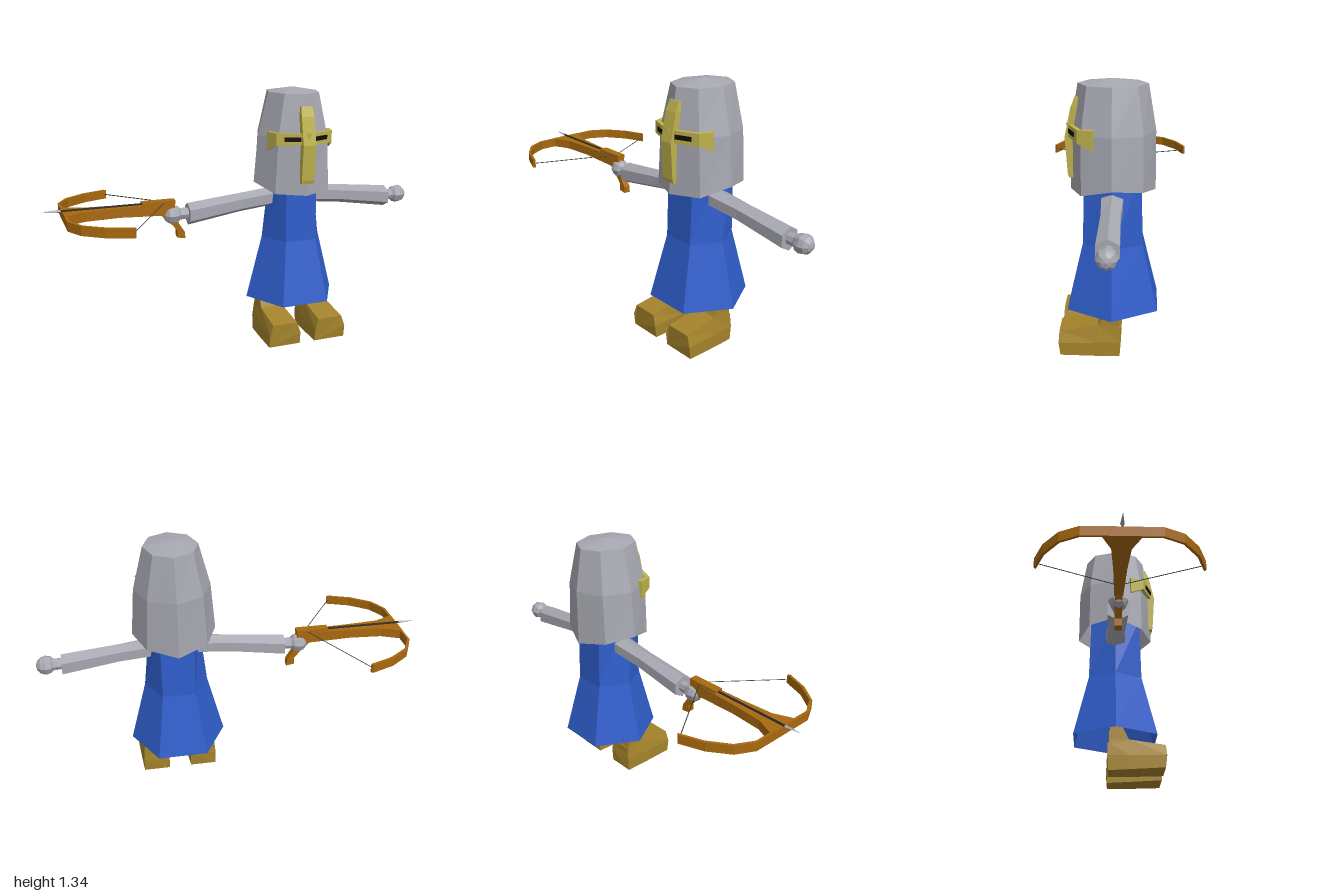
import * as THREE from 'three';

const mat = (name, color, side = THREE.FrontSide) => {
  const m = new THREE.MeshStandardMaterial({ color, side, flatShading: true });
  m.name = name;
  return m;
};

// Skin a list of equal-length rings; each ring runs counter-clockwise about the loft direction.
function loft(rings, caps = true) {
  const pos = [];
  const tri = (a, b, c) => pos.push(...a, ...b, ...c);
  const n = rings[0].length;
  for (let k = 0; k < rings.length - 1; k++) {
    for (let i = 0; i < n; i++) {
      const j = (i + 1) % n, r = rings[k], s = rings[k + 1];
      tri(r[i], r[j], s[j]);
      tri(r[i], s[j], s[i]);
    }
  }
  if (caps) {
    const a = rings[0], b = rings[rings.length - 1];
    for (let i = 1; i < n - 1; i++) {
      tri(a[0], a[i + 1], a[i]);
      tri(b[0], b[i], b[i + 1]);
    }
  }
  const g = new THREE.BufferGeometry();
  g.setAttribute('position', new THREE.Float32BufferAttribute(pos, 3));
  g.computeVertexNormals();
  return g;
}

// Rings about each axis
const ovalY = (n, y, rx, rz, start = 0) => Array.from({ length: n }, (_, i) => {
  const a = start + (i / n) * Math.PI * 2;
  return [rx * Math.sin(a), typeof y === 'number' ? y : y[i], rz * Math.cos(a)];
});
const ovalX = (n, x, cy, ry, rz) => Array.from({ length: n }, (_, i) => {
  const a = (i / n) * Math.PI * 2;
  return [x, cy + ry * Math.cos(a), rz * Math.sin(a)];
});
const rectX = (x, y0, y1, w) => [[x, y0, -w], [x, y1, -w], [x, y1, w], [x, y0, w]];
const rectY = (y, w, z0, z1) => [[-w, y, z0], [-w, y, z1], [w, y, z1], [w, y, z0]];

export function createModel() {
  const steel = mat('steel grey', 0xa6a7b0, THREE.DoubleSide);
  const blue = mat('tunic blue', 0x2f5dca, THREE.DoubleSide);
  const brass = mat('brass yellow', 0xbeb24c);
  const leather = mat('boot leather', 0xa4832b);
  const wood = mat('crossbow wood', 0xa8690f);
  const black = mat('slit black', 0x0c0c0c);
  const cord = mat('cord dark', 0x33312f);

  const model = new THREE.Group();
  model.name = 'crossbowKnight';
  const add = (parent, name, geo, material) => {
    const m = new THREE.Mesh(geo, material);
    m.name = name;
    parent.add(m);
    return m;
  };

  const figure = new THREE.Group();
  figure.name = 'figure';
  figure.position.x = 0.292;
  model.add(figure);

  // Helmet: open octagonal shell with a rim that rises at the sides
  const rim = [0.807, 0.815, 0.855, 0.835, 0.807, 0.835, 0.855, 0.815];
  add(figure, 'helmet', loft([
    ovalY(8, rim, 0.213, 0.205),
    ovalY(8, 1.1, 0.192, 0.203),
    ovalY(8, 1.32, 0.135, 0.166),
    ovalY(8, 1.343, 0.001, 0.001),
  ], false), steel);

  // Cross on the visor
  add(figure, 'visorUpright', loft([
    rectY(0.87, 0.034, 0.18, 0.21),
    rectY(0.89, 0.035, 0.19, 0.216),
    rectY(1.07, 0.035, 0.19, 0.228),
    rectY(1.21, 0.035, 0.165, 0.198),
    rectY(1.26, 0.03, 0.15, 0.178),
  ]), brass);
  const bar = [[-0.175, 0.088, 1.035], [-0.153, 0.16, 1.068], [0, 0.222, 1.07],
    [0.153, 0.16, 1.068], [0.175, 0.088, 1.035]];
  add(figure, 'visorBar', loft(bar.map(([x, z, y]) => {
    const ix = x * 0.88, iz = z * 0.9;
    return [[ix, y, iz], [ix, 1.13, iz], [x, 1.13, z], [x, y, z]];
  })), brass);
  for (const s of [-1, 1]) {
    const slit = add(figure, s > 0 ? 'leftEyeSlit' : 'rightEyeSlit',
      new THREE.BoxGeometry(0.086, 0.022, 0.006), black);
    slit.position.set(s * 0.078, 1.1, 0.191);
    slit.rotation.y = s * 0.385;
  }

  // Tunic: hexagonal body flaring into an open skirt
  const hex = (y, rx, vx, z) => [[-vx, y, -z], [-rx, y, 0], [-vx, y, z], [vx, y, z], [rx, y, 0], [vx, y, -z]];
  add(figure, 'tunic', loft([
    hex(0.217, 0.252, 0.127, 0.221),
    hex(0.55, 0.165, 0.085, 0.144),
    hex(0.9, 0.125, 0.085, 0.135),
  ], false), blue);

  // Arms and boots, one for each side
  for (const s of [-1, 1]) {
    const side = s > 0 ? 'left' : 'right';
    const arm = new THREE.Group();
    arm.name = side + 'Arm';
    if (s < 0) arm.rotation.y = Math.PI;
    figure.add(arm);
    add(arm, side + 'Sleeve', loft([
      ovalX(6, 0.09, 0.77, 0.052, 0.06),
      ovalX(6, 0.13, 0.768, 0.05, 0.06),
      ovalX(6, 0.29, 0.751, 0.05, 0.052),
      ovalX(6, 0.576, 0.714, 0.058, 0.06),
    ]), steel);
    add(arm, side + 'Wrist', loft([
      ovalX(8, 0.56, 0.718, 0.028, 0.028),
      ovalX(8, 0.63, 0.718, 0.032, 0.032),
    ]), steel);
    const hand = add(arm, side + 'Hand', new THREE.SphereGeometry(0.05, 8, 6), steel);
    hand.position.set(0.655, 0.718, 0);
    hand.rotation.z = Math.PI / 2;

    const boot = new THREE.Group();
    boot.name = side + 'Boot';
    boot.position.x = s * 0.13;
    figure.add(boot);
    add(boot, side + 'Shaft', loft([
      rectY(0.08, 0.07, -0.044, 0.07),
      rectY(0.165, 0.062, -0.034, 0.068),
      rectY(0.22, 0.06, -0.03, 0.042),
      rectY(0.3, 0.058, -0.03, 0.03),
    ]), leather);
    // foot sections run from heel to toe, with a bulge at mid height
    const foot = (z, y0, y1, wt, wb, dz) => [[-wb, y0, z - dz], [wb, y0, z - dz], [wb, 0.08, z + dz],
      [wt, y1, z], [-wt, y1, z], [-wb, 0.08, z + dz]];
    add(boot, side + 'Foot', loft([
      foot(-0.041, 0.003, 0.15, 0.062, 0.07, -0.003),
      foot(0.07, 0.007, 0.166, 0.062, 0.078, 0),
      foot(0.256, 0.015, 0.137, 0.068, 0.087, 0.004),
    ]), leather);
  }

  // Crossbow, held out to the right
  const bow = new THREE.Group();
  bow.name = 'crossbow';
  model.add(bow);
  add(bow, 'stock', loft([
    rectX(-0.913, 0.735, 0.783, 0.09),
    rectX(-0.89, 0.735, 0.783, 0.08),
    rectX(-0.81, 0.735, 0.783, 0.045),
    rectX(-0.64, 0.735, 0.783, 0.032),
    rectX(-0.42, 0.722, 0.783, 0.022),
    rectX(-0.355, 0.735, 0.783, 0.022),
  ]), wood);
  add(bow, 'latchPlate', new THREE.BoxGeometry(0.17, 0.02, 0.044), wood).position.set(-0.437, 0.787, 0);
  const grip = new THREE.Shape([[-0.44, 0.735], [-0.41, 0.705], [-0.37, 0.665], [-0.345, 0.635], [-0.345, 0.597],
    [-0.303, 0.59], [-0.306, 0.625], [-0.335, 0.67], [-0.355, 0.735]].map(p => new THREE.Vector2(...p)));
  add(bow, 'grip', new THREE.ExtrudeGeometry(grip, { depth: 0.036, bevelEnabled: false }), wood)
    .position.z = -0.018;
  const half = [[-0.913, 0.18], [-0.865, 0.272], [-0.765, 0.346], [-0.645, 0.392]];
  const curve = [...half.map(([x, z]) => [x, -z]).reverse(), ...half];
  add(bow, 'limbs', loft(curve.map(([x, z]) => {
    const ix = x + 0.012, iz = z * 0.975;
    return [[x, 0.735, z], [ix, 0.735, iz], [ix, 0.782, iz], [x, 0.782, z]];
  })), wood);

  // Cords from limb tips to the latch
  for (const s of [-1, 1]) {
    const path = new THREE.LineCurve3(new THREE.Vector3(-0.647, 0.758, s * 0.388), new THREE.Vector3(-0.4, 0.787, 0));
    add(bow, s > 0 ? 'frontCord' : 'backCord', new THREE.TubeGeometry(path, 1, 0.0022, 4), cord);
  }

  // Bolt with a flat pointed head
  add(bow, 'boltShaft', new THREE.BoxGeometry(0.42, 0.008, 0.008), cord).position.set(-0.72, 0.787, 0);
  add(bow, 'boltHead', loft([
    ovalX(4, -1, 0.79, 0.001, 0.001),
    ovalX(4, -0.92, 0.787, 0.008, 0.01),
  ]), steel);

  return model;
}
